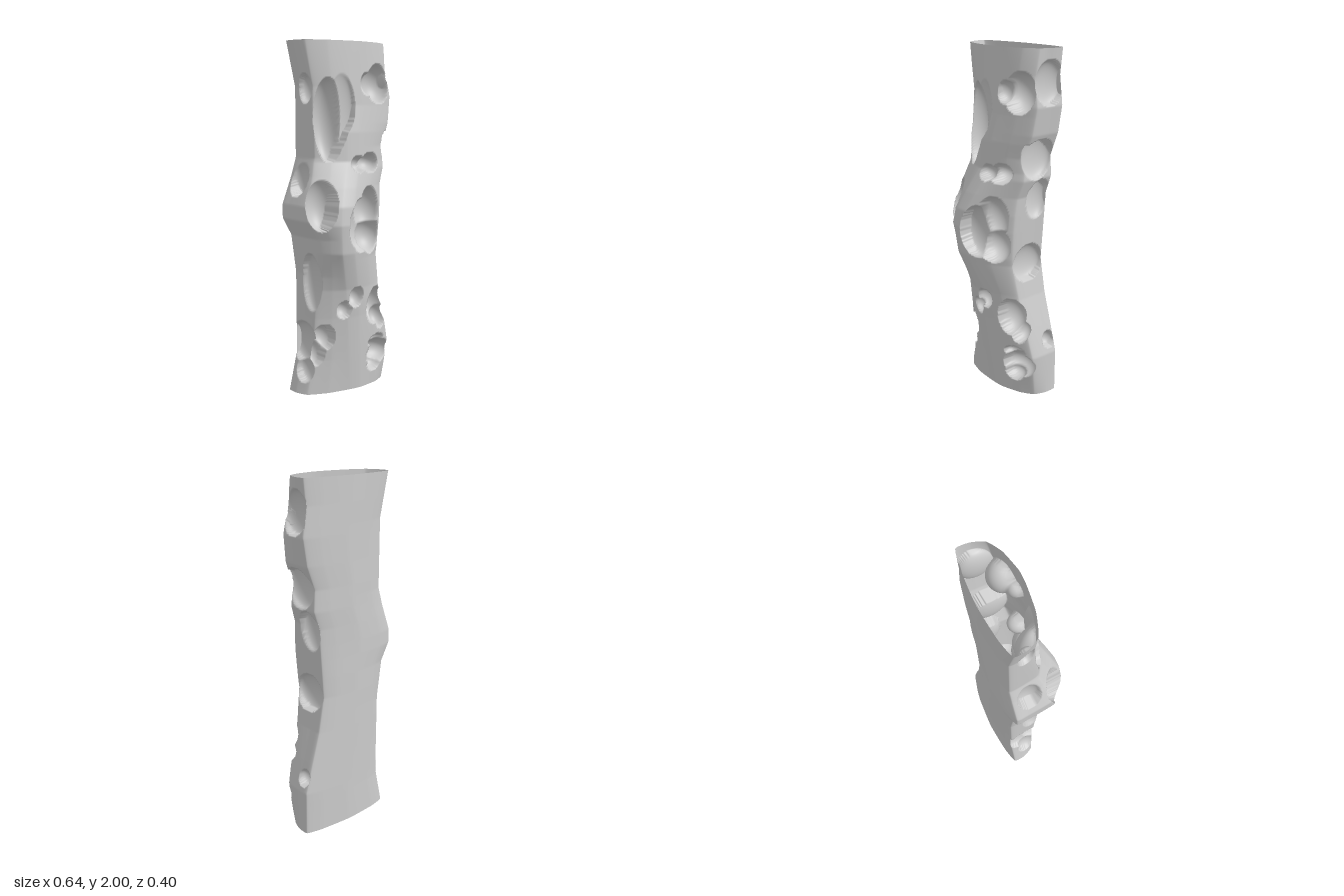
import * as THREE from 'three';

// Height and position of the side edges, and of the front crest
const LEFT_EDGE = [[0, 0.31], [0.25, 0.31], [0.42, 0.265], [0.6, 0.215], [0.8, 0.18], [1, 0.195], [1.2, 0.21],
  [1.3, 0.245], [1.42, 0.24], [1.55, 0.29], [1.7, 0.315], [1.86, 0.295], [2, 0.31]];
const RIGHT_EDGE = [[0, -0.285], [0.2, -0.24], [0.45, -0.235], [0.7, -0.235], [0.92, -0.265], [1.02, -0.32],
  [1.1, -0.32], [1.26, -0.26], [1.36, -0.23], [1.75, -0.23], [2, -0.285]];
const CREST = [[0, 0.05], [0.45, 0.095], [0.62, 0.12], [0.84, 0.185], [1, 0.2], [1.1, 0.19], [1.2, 0.155],
  [1.34, 0.1], [1.5, 0.093], [1.65, 0.07], [2, 0.05]];

// Front hollows: x, y, half width, half height, depth
const FRONT_HOLLOWS = [
  [-0.08, 1.6, 0.1, 0.24, 0.035],
  [-0.14, 1.57, 0.08, 0.23, 0.125],
  [0.2, 1.77, 0.09, 0.11, 0.11],
  [0.11, 1.77, 0.05, 0.06, 0.06],
  [0.02, 1.325, 0.05, 0.045, 0.06],
  [0.11, 1.33, 0.065, 0.055, 0.09],
  [0.01, 0.99, 0.13, 0.15, 0.08],
  [0.08, 1.07, 0.09, 0.13, 0.12],
  [0.09, 0.92, 0.09, 0.1, 0.11],
  [-0.07, 0.5, 0.045, 0.05, 0.06],
  [0, 0.57, 0.05, 0.06, 0.07],
  [0.17, 0.49, 0.08, 0.11, 0.11],
  [0.22, 0.41, 0.05, 0.07, 0.09],
  [0.21, 0.19, 0.1, 0.075, 0.11],
  [0.18, 0.13, 0.06, 0.045, 0.08],
  [0.19, 0.27, 0.07, 0.035, 0.05],
  [-0.24, 1.12, 0.085, 0.15, 0.1],
  [-0.17, 0.34, 0.06, 0.075, 0.08],
  [-0.21, 0.25, 0.05, 0.08, 0.08],
];
// Flank hollows: y, z, half height, half depth
const LEFT_HOLLOWS = [[1.82, -0.08, 0.12, 0.1], [1.43, -0.05, 0.13, 0.11], [1.19, -0.09, 0.13, 0.08], [0.8, -0.05, 0.11, 0.11], [0.33, -0.12, 0.05, 0.045]];
const RIGHT_HOLLOWS = [[1.74, -0.06, 0.08, 0.05], [1.24, -0.06, 0.12, 0.07], [0.66, 0, 0.17, 0.08], [0.3, -0.08, 0.12, 0.12], [0.15, -0.05, 0.08, 0.07]];

function valueAt(profile, y) {
  const i = Math.max(1, profile.findIndex(([h]) => h >= y));
  const [y0, v0] = profile[i - 1], [y1, v1] = profile[i];
  return THREE.MathUtils.mapLinear(y, y0, y1, v0, v1);
}

// Flat-backed cross-section whose crest leans to the right where it swells
function sectionAt(y) {
  const l = valueAt(LEFT_EDGE, y), r = valueAt(RIGHT_EDGE, y), cz = valueAt(CREST, y);
  const swell = (cz - 0.05) / 0.15, end = (y - 1) ** 4;
  const cx = 0.05 - 0.16 * swell, mid = (l + r) / 2;
  const lz = 0.02 + 0.05 * swell - 0.04 * end, rz = -0.02 + 0.1 * swell;
  const points = [
    [mid, -0.2], [mid + (l - mid) * 0.65, -0.186], [l, -0.162], [l, -0.09], [l - 0.008 - 0.022 * end, lz],
    [(l + cx) / 2 + 0.02, (lz + cz) / 2 + 0.01], [cx + 0.03, cz], [cx - 0.05, cz - 0.003],
    [(r + cx) / 2 - 0.02, (rz + cz) / 2 + 0.01], [r + 0.015 + 0.02 * end, rz], [r, -0.09],
    [r, -0.16], [mid + (r - mid) * 0.65, -0.186],
  ].map(([x, z]) => new THREE.Vector3(x, y, z));
  return new THREE.CatmullRomCurve3(points, true, 'catmullrom', 0.25);
}

// Front surface depth of the uncut shell
function frontZ(x, y) {
  const front = sectionAt(y).getPoints(160).filter((p) => p.z > -0.02);
  return front.reduce((a, b) => (Math.abs(b.x - x) < Math.abs(a.x - x) ? b : a)).z;
}

// Each hollow is a rounded bowl centred on the shell, cut inward along one axis
function makeHollows() {
  const front = FRONT_HOLLOWS.map(([x, y, rx, ry, depth]) => ({
    centre: new THREE.Vector3(x, y, frontZ(x, y)),
    radii: new THREE.Vector3(rx, ry, depth), axis: 'z', inward: -1,
  }));
  const flank = (list, edge, inward) => list.map(([y, z, ry, rz]) => ({
    centre: new THREE.Vector3(valueAt(edge, y), y, z),
    radii: new THREE.Vector3(0.05, ry, rz), axis: 'x', inward,
  }));
  return [...front, ...flank(LEFT_HOLLOWS, LEFT_EDGE, -1), ...flank(RIGHT_HOLLOWS, RIGHT_EDGE, 1)];
}

// Move a point inside the bowl onto its inner wall
function carve(point, { centre, radii, axis, inward }) {
  const q = point.clone().sub(centre).divide(radii);
  if (q.lengthSq() >= 1) return;
  const wall = (1 - q.lengthSq() + q[axis] ** 2) ** 0.45;
  point[axis] = centre[axis] + inward * radii[axis] * wall;
}

export function createModel() {
  const group = new THREE.Group();
  group.name = 'hollowTrunk';
  const rows = 270, cols = 260;
  const hollows = makeHollows();
  const positions = [], index = [];
  for (let j = 0; j <= rows; j++) {
    const curve = sectionAt((2 * j) / rows);
    for (let i = 0; i < cols; i++) {
      const p = curve.getPoint(i / cols);
      // the back panel stays smooth
      if (p.z > -0.163) hollows.forEach((hollow) => carve(p, hollow));
      positions.push(p.x, p.y, p.z);
      if (j === rows) continue;
      const a = j * cols + i, b = j * cols + ((i + 1) % cols);
      index.push(a, a + cols, b, b, a + cols, b + cols);
    }
  }
  const geometry = new THREE.BufferGeometry();
  geometry.setAttribute('position', new THREE.Float32BufferAttribute(positions, 3));
  geometry.setIndex(index);
  geometry.computeVertexNormals();

  // Open-ended thin shell
  const shell = new THREE.Mesh(geometry,
    new THREE.MeshStandardMaterial({ color: 0xcccccc, side: THREE.DoubleSide }));
  shell.name = 'pittedShell';
  group.add(shell);
  return group;
}
